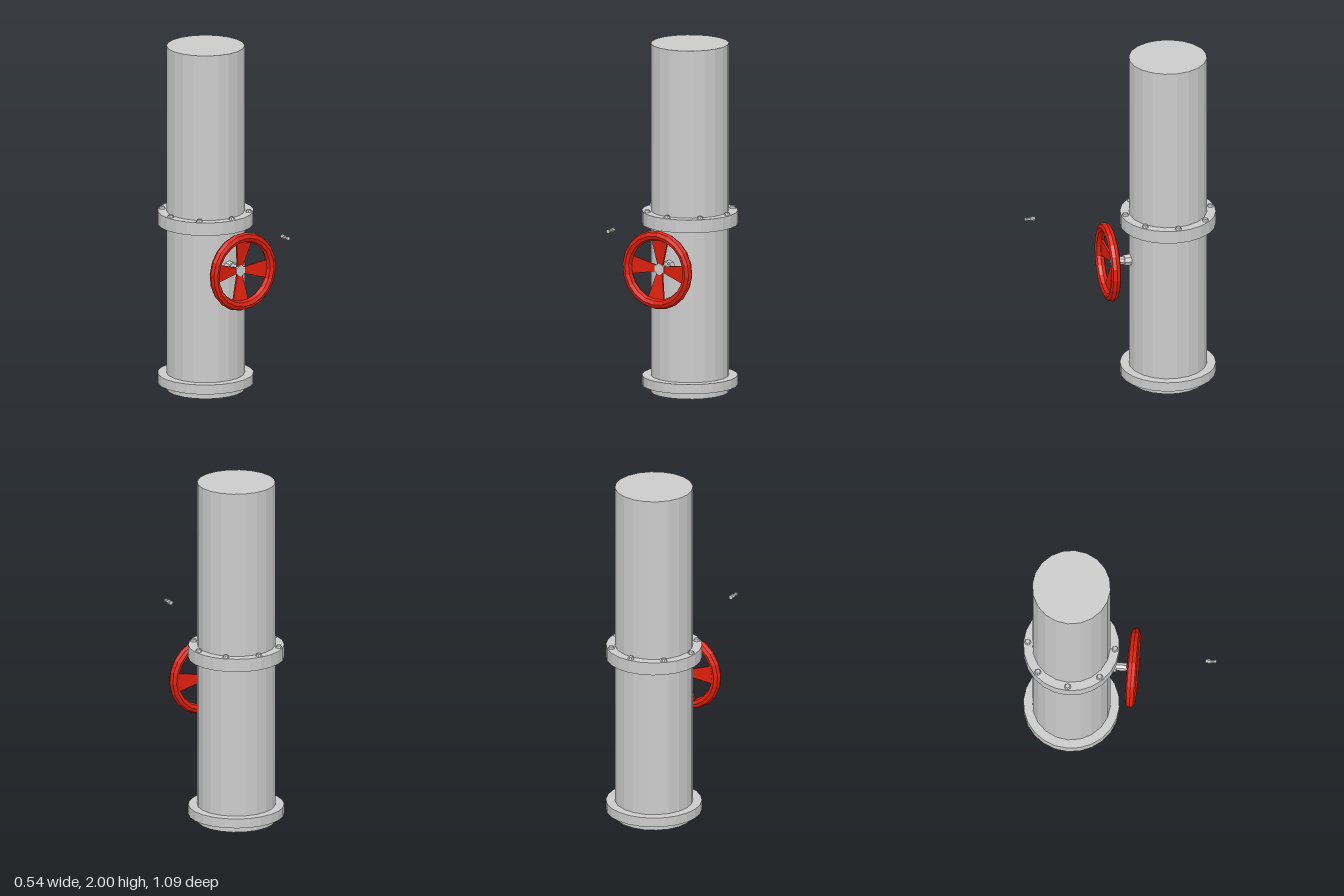
import * as THREE from 'three';

const PIPE_Z = -0.275;
const WHEEL_Y = 0.76;

export function createModel() {
  const model = new THREE.Group();
  const grey = new THREE.MeshStandardMaterial({ color: 0xcccccc, flatShading: true });
  const red = new THREE.MeshStandardMaterial({ color: 0xdd1f0c, flatShading: true, side: THREE.DoubleSide });

  const add = (parent, name, geometry, material = grey) => {
    const mesh = new THREE.Mesh(geometry, material);
    mesh.name = name;
    parent.add(mesh);
    return mesh;
  };
  // Cylinder spanning two heights along y
  const drum = (radius, y0, y1, sides) =>
    new THREE.CylinderGeometry(radius, radius, y1 - y0, sides).translate(0, (y0 + y1) / 2, 0);
  // Cylinder spanning two depths along z
  const rod = (radius, z0, z1, sides) => drum(radius, z0, z1, sides).rotateX(Math.PI / 2);

  // Capped pipe with two flanges
  const pipe = new THREE.Group();
  pipe.name = 'pipe';
  pipe.position.z = PIPE_Z;
  model.add(pipe);
  add(pipe, 'pipeBody', drum(0.22, 0, 2, 20));
  add(pipe, 'bottomFlange', drum(0.27, 0.04, 0.095, 24));
  add(pipe, 'middleFlange', drum(0.27, 0.965, 1.04, 24));

  // Bolts around the middle flange
  for (let i = 0; i < 8; i++) {
    const bolt = new THREE.Group();
    bolt.name = 'flangeBolt';
    const a = (i * Math.PI) / 4;
    bolt.position.set(0.246 * Math.sin(a), 0, 0.246 * Math.cos(a));
    add(bolt, 'boltHead', new THREE.CylinderGeometry(0.013, 0.019, 0.014, 8).translate(0, 1.047, 0));
    add(bolt, 'boltShank', drum(0.006, 0.962, 1.04, 8));
    pipe.add(bolt);
  }

  // Valve stem and handwheel
  const valve = new THREE.Group();
  valve.name = 'valve';
  valve.position.y = WHEEL_Y;
  model.add(valve);
  add(valve, 'stemCollar', rod(0.034, -0.08, -0.02, 8));
  add(valve, 'stem', rod(0.025, -0.03, 0.045, 8));
  add(valve, 'hubNut', rod(0.034, 0.035, 0.055, 6));

  const wheel = new THREE.Group();
  wheel.name = 'handwheel';
  wheel.rotation.z = -0.07;
  valve.add(wheel);
  add(wheel, 'wheelRim', new THREE.TorusGeometry(0.198, 0.028, 8, 20).translate(0, 0, 0.072), red);

  // Four flared spokes, dished back towards the hub
  const spokeShape = new THREE.Shape([
    new THREE.Vector2(0, -0.012), new THREE.Vector2(0.185, -0.056),
    new THREE.Vector2(0.195, 0), new THREE.Vector2(0.185, 0.056), new THREE.Vector2(0, 0.012),
  ]);
  for (let i = 0; i < 4; i++) {
    const geometry = new THREE.ExtrudeGeometry(spokeShape, { depth: 0.012, bevelEnabled: false });
    const p = geometry.attributes.position;
    for (let k = 0; k < p.count; k++) p.setZ(k, p.getZ(k) + 0.032 + 0.16 * p.getX(k));
    geometry.computeVertexNormals();
    add(wheel, 'spoke', geometry, red).rotation.z = (i * Math.PI) / 2;
  }

  // Loose bolt floating in front
  const loose = new THREE.Group();
  loose.name = 'looseBolt';
  loose.position.set(-0.035, 1.063, 0);
  add(loose, 'looseBoltHead', rod(0.013, 0.485, 0.512, 8));
  add(loose, 'looseBoltShank', rod(0.009, 0.512, 0.538, 8));
  add(loose, 'looseBoltTip', rod(0.012, 0.538, 0.545, 8));
  model.add(loose);

  return model;
}
